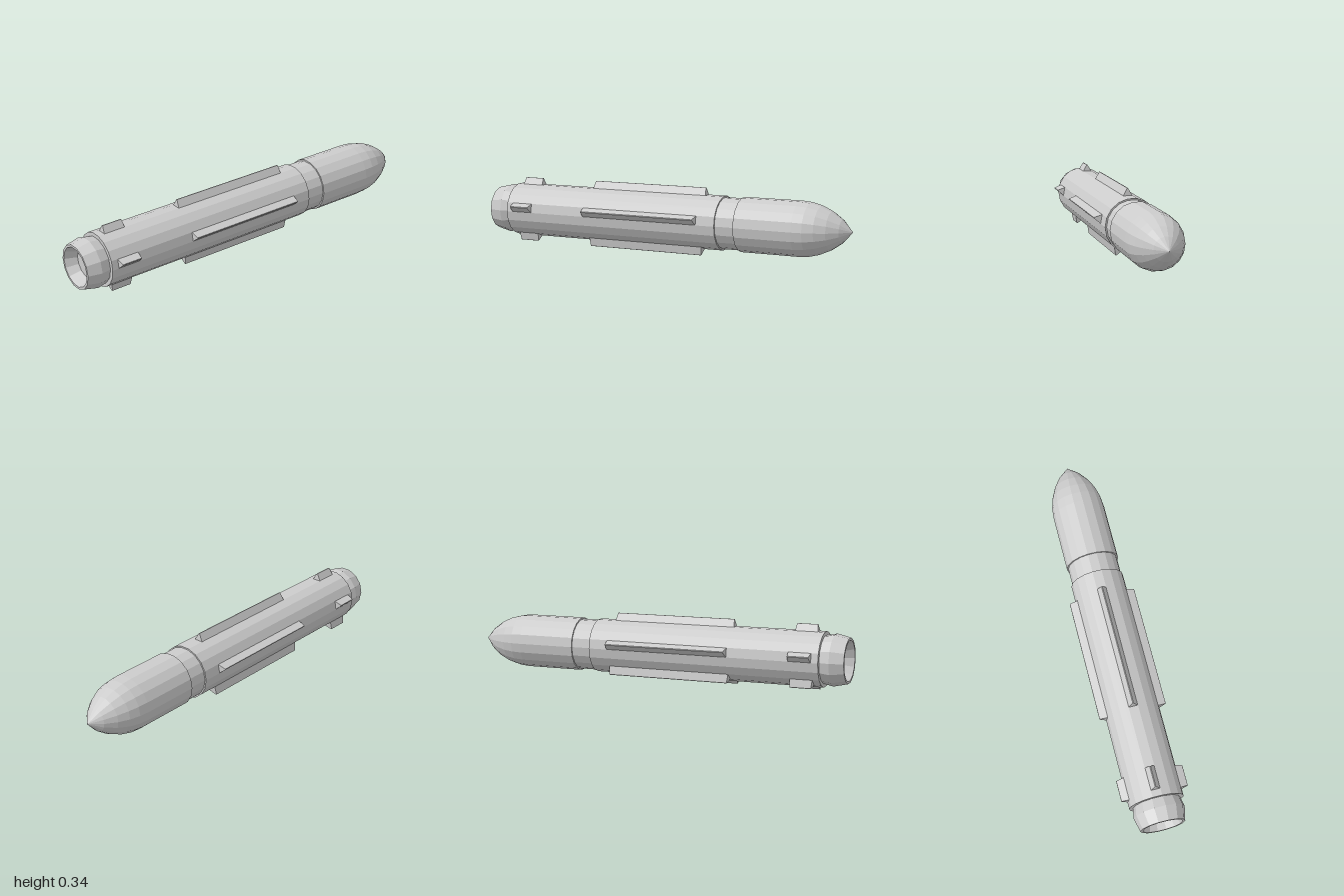
import * as THREE from 'three';

const AXIS_Y = 0.163;
const RADIUS = 0.1375;
const APOTHEM = RADIUS * Math.cos(Math.PI / 18);
const material = new THREE.MeshStandardMaterial({ color: 0xcccccc, flatShading: true });

// Faceted solid of revolution along z, profile given as [radius, z] from back to front
function turned(name, profile, sides) {
  const points = profile.map(([r, z]) => new THREE.Vector2(r, z));
  const geometry = new THREE.LatheGeometry(points, sides, Math.PI / 2).rotateX(Math.PI / 2);
  const mesh = new THREE.Mesh(geometry, material);
  mesh.name = name;
  return mesh;
}

// Wedge-shaped fin pointing up (+y) with a narrow ridge slightly shorter than its base
function finGeometry(z0, z1, tip) {
  const base = APOTHEM - 0.002;
  const shape = new THREE.Shape([
    new THREE.Vector2(-0.024, base), new THREE.Vector2(0.024, base),
    new THREE.Vector2(0.002, tip), new THREE.Vector2(-0.002, tip),
  ]);
  const geometry = new THREE.ExtrudeGeometry(shape, { depth: z1 - z0, bevelEnabled: false });
  geometry.translate(0, 0, z0);
  const p = geometry.attributes.position;
  const middle = (z0 + z1) / 2;
  for (let i = 0; i < p.count; i++) {
    if (p.getY(i) > tip - 0.001) p.setZ(i, p.getZ(i) - Math.sign(p.getZ(i) - middle) * 0.005);
  }
  geometry.computeVertexNormals();
  return geometry;
}

export function createModel() {
  const model = new THREE.Group();
  model.name = 'missile';
  const round = new THREE.Group();
  round.position.y = AXIS_Y;
  model.add(round);

  // Body: ogive nose, recessed band, long tube and flat tail
  const noseLength = 0.268;
  const arc = (RADIUS ** 2 + noseLength ** 2) / (2 * RADIUS);
  const profile = [];
  for (let i = 0; i <= 5; i++) {
    const s = noseLength * (1 - i / 5);
    const r = Math.sqrt(arc * arc - s * s) - (arc - RADIUS);
    profile.push([i === 0 ? 0 : r, -1 + noseLength - s]);
  }
  profile.push(
    [RADIUS, -0.43], [0.13, -0.43], [0.13, -0.33], [RADIUS, -0.33],
    [RADIUS, 0.88], [0, 0.88],
  );
  round.add(turned('body', profile, 18));

  // Exhaust nozzle with a sloped inner wall and a recessed disc
  round.add(turned('nozzle', [
    [0.118, 0.875], [0.129, 0.93], [0.113, 1], [0.101, 1], [0.076, 0.94], [0, 0.94],
  ], 14));

  // Five long strakes, each followed by a short tail fin
  const strake = finGeometry(-0.23, 0.415, 0.173);
  const tailFin = finGeometry(0.73, 0.845, 0.17);
  for (const degrees of [10, 90, 170, 230, 290]) {
    for (const [name, geometry] of [['strake', strake], ['tailFin', tailFin]]) {
      const fin = new THREE.Mesh(geometry, material);
      fin.name = name;
      fin.rotation.z = THREE.MathUtils.degToRad(degrees - 90);
      round.add(fin);
    }
  }
  return model;
}
